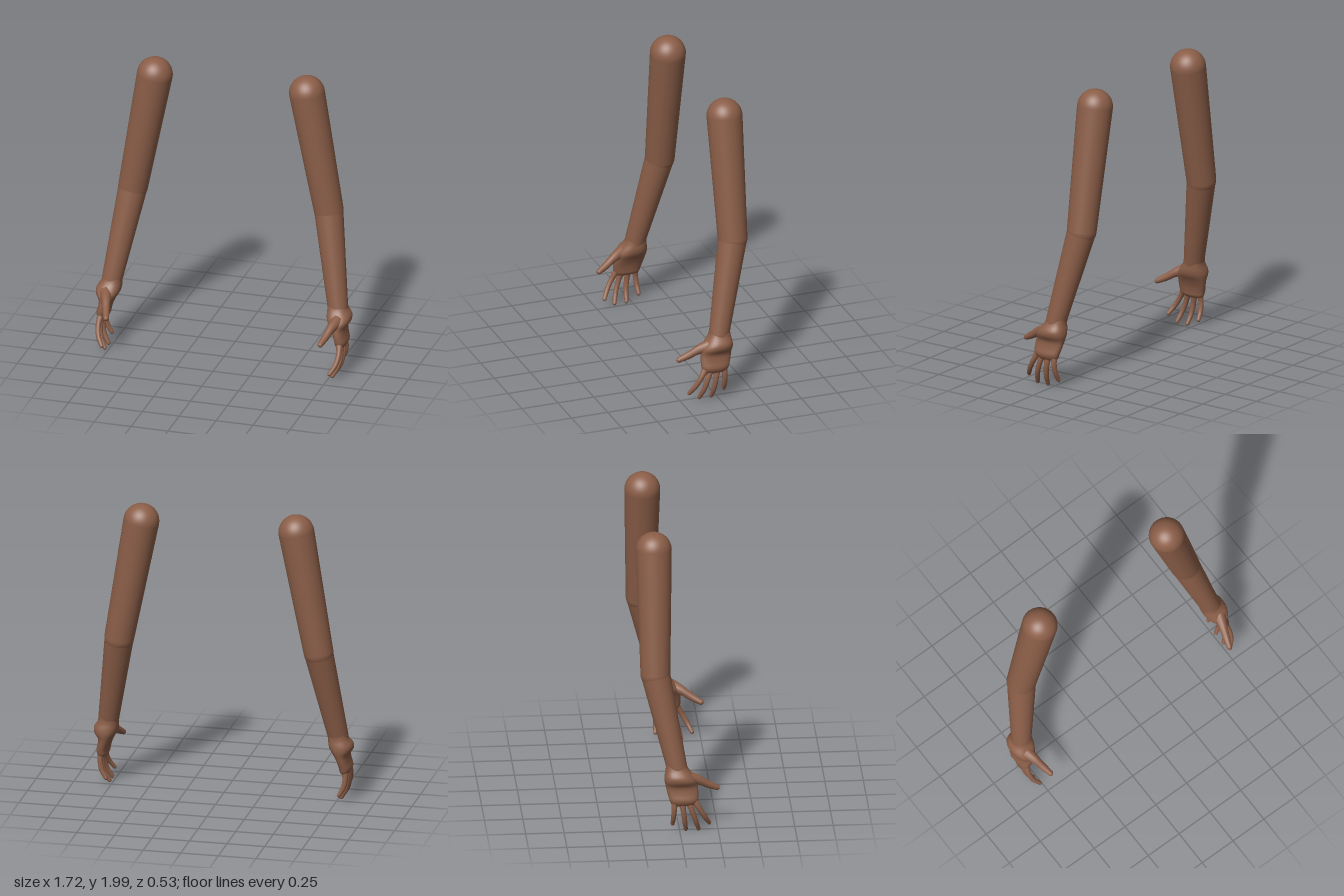
import * as THREE from 'three';
import { mergeGeometries, mergeVertices } from 'three/addons/utils/BufferGeometryUtils.js';

const V = (x, y, z) => new THREE.Vector3(x, y, z);

// Tapered limb with a ball at each end
function limb(a, b, ra, rb) {
  const dir = b.clone().sub(a);
  const turn = new THREE.Quaternion().setFromUnitVectors(V(0, -1, 0), dir.clone().normalize());
  const mid = a.clone().add(b).multiplyScalar(0.5);
  const cone = new THREE.CylinderGeometry(ra, rb, dir.length(), 40, 1, true)
    .applyQuaternion(turn).translate(mid.x, mid.y, mid.z);
  const ball = (p, r) => new THREE.SphereGeometry(r, 40, 24).translate(p.x, p.y, p.z);
  return mergeGeometries([cone, ball(a, ra), ball(b, rb)]);
}

// Curved digit whose radius follows a list of values, with a round tip
function digit(points, radii) {
  const n = 16, sides = 14;
  const curve = new THREE.CatmullRomCurve3(points);
  const tube = new THREE.TubeGeometry(curve, n, 1, sides);
  const pos = tube.attributes.position, p = V(0, 0, 0);
  for (let i = 0; i <= n; i++) {
    const c = curve.getPointAt(i / n);
    const t = (i / n) * (radii.length - 1), k = Math.min(Math.floor(t), radii.length - 2);
    const r = THREE.MathUtils.lerp(radii[k], radii[k + 1], t - k);
    for (let j = 0; j <= sides; j++) {
      const id = i * (sides + 1) + j;
      p.fromBufferAttribute(pos, id).sub(c).multiplyScalar(r).add(c);
      pos.setXYZ(id, p.x, p.y, p.z);
    }
  }
  const end = points[points.length - 1];
  const tip = new THREE.SphereGeometry(radii[radii.length - 1], 14, 10).translate(end.x, end.y, end.z);
  return mergeGeometries([tube, tip]);
}

// Palm lofted through rounded sections: [y, inner x, outer x, back z, front z]
function palm() {
  const sections = [
    [0.49, 0.70, 0.82, -0.09, 0.04], [0.45, 0.70, 0.835, -0.09, 0.055],
    [0.41, 0.70, 0.86, -0.098, 0.085], [0.375, 0.71, 0.858, -0.10, 0.108],
    [0.335, 0.735, 0.835, -0.092, 0.115], [0.29, 0.755, 0.838, -0.082, 0.12],
    [0.25, 0.765, 0.848, -0.07, 0.118], [0.225, 0.77, 0.842, -0.062, 0.108],
    [0.207, 0.785, 0.828, -0.045, 0.085], [0.203, 0.805, 0.808, -0.005, 0.045],
  ];
  const n = 28, steps = 32;
  const spline = [0, 1, 2, 3, 4].map(k =>
    new THREE.SplineCurve(sections.map((s, i) => new THREE.Vector2(i, s[k]))));
  const verts = [], index = [];
  for (let i = 0; i <= steps; i++) {
    const [y, x0, x1, z0, z1] = spline.map(s => s.getPoint(i / steps).y);
    for (let j = 0; j < n; j++) {
      const a = (j / n) * Math.PI * 2, c = Math.cos(a), s = Math.sin(a);
      const round = v => Math.sign(v) * Math.abs(v) ** 0.85;
      verts.push((x0 + x1) / 2 + round(c) * (x1 - x0) / 2, y, (z0 + z1) / 2 + round(s) * (z1 - z0) / 2);
      if (i < steps) {
        const k = i * n + j, l = i * n + (j + 1) % n;
        index.push(k, l, k + n, l, l + n, k + n);
      }
    }
  }
  const g = new THREE.BufferGeometry();
  g.setAttribute('position', new THREE.Float32BufferAttribute(verts, 3));
  g.setIndex(index);
  g.computeVertexNormals();
  return g;
}

// Mirror across x and restore the face direction
function mirrored(geometry) {
  const g = geometry.clone();
  for (const name of ['position', 'normal']) {
    const a = g.attributes[name];
    for (let i = 0; i < a.count; i++) a.setX(i, -a.getX(i));
  }
  const ix = g.index;
  for (let i = 0; i < ix.count; i += 3) {
    const t = ix.getX(i);
    ix.setX(i, ix.getX(i + 1));
    ix.setX(i + 1, t);
  }
  return g;
}

export function createModel() {
  const skin = new THREE.MeshStandardMaterial({ color: 0x8b5e48 });
  skin.name = 'brown skin';

  const shoulder = V(0.516, 1.884, -0.15), elbow = V(0.663, 1.075, -0.15), wrist = V(0.765, 0.46, -0.018);
  const parts = {
    upperArm: limb(shoulder, elbow, 0.117, 0.097),
    forearm: limb(elbow, wrist, 0.095, 0.067),
    palm: palm(),
    thumb: digit([V(0.785, 0.39, 0.055), V(0.765, 0.365, 0.12), V(0.745, 0.325, 0.185), V(0.726, 0.292, 0.246)],
      [0.045, 0.034, 0.026, 0.024, 0.018]),
  };

  // Fingers: base z, base y, tip z, tip y, tip x
  const fingers = [
    ['indexFinger', 0.09, 0.245, 0.192, 0.066, 0.772],
    ['middleFinger', 0.057, 0.235, 0.123, 0.025, 0.772],
    ['ringFinger', 0.013, 0.23, 0.040, 0.025, 0.772],
    ['littleFinger', -0.034, 0.24, -0.046, 0.066, 0.775],
  ];
  for (const [name, z0, y0, z1, y1, x1] of fingers) {
    const at = (t, x) => V(x, y0 + (y1 - y0) * t, z0 + (z1 - z0) * t);
    parts[name] = digit([at(0, 0.808), at(0.35, 0.815), at(0.7, 0.803), at(1, x1)],
      [0.025, 0.018, 0.017, 0.016, 0.013]);
  }

  const model = new THREE.Group();
  model.name = 'arms';
  for (const side of ['left', 'right']) {
    const arm = new THREE.Group();
    arm.name = side + 'Arm';
    for (const [name, geometry] of Object.entries(parts)) {
      const mesh = new THREE.Mesh(side === 'left' ? geometry : mirrored(geometry), skin);
      mesh.name = name;
      arm.add(mesh);
    }
    model.add(arm);
  }
  return model;
}
